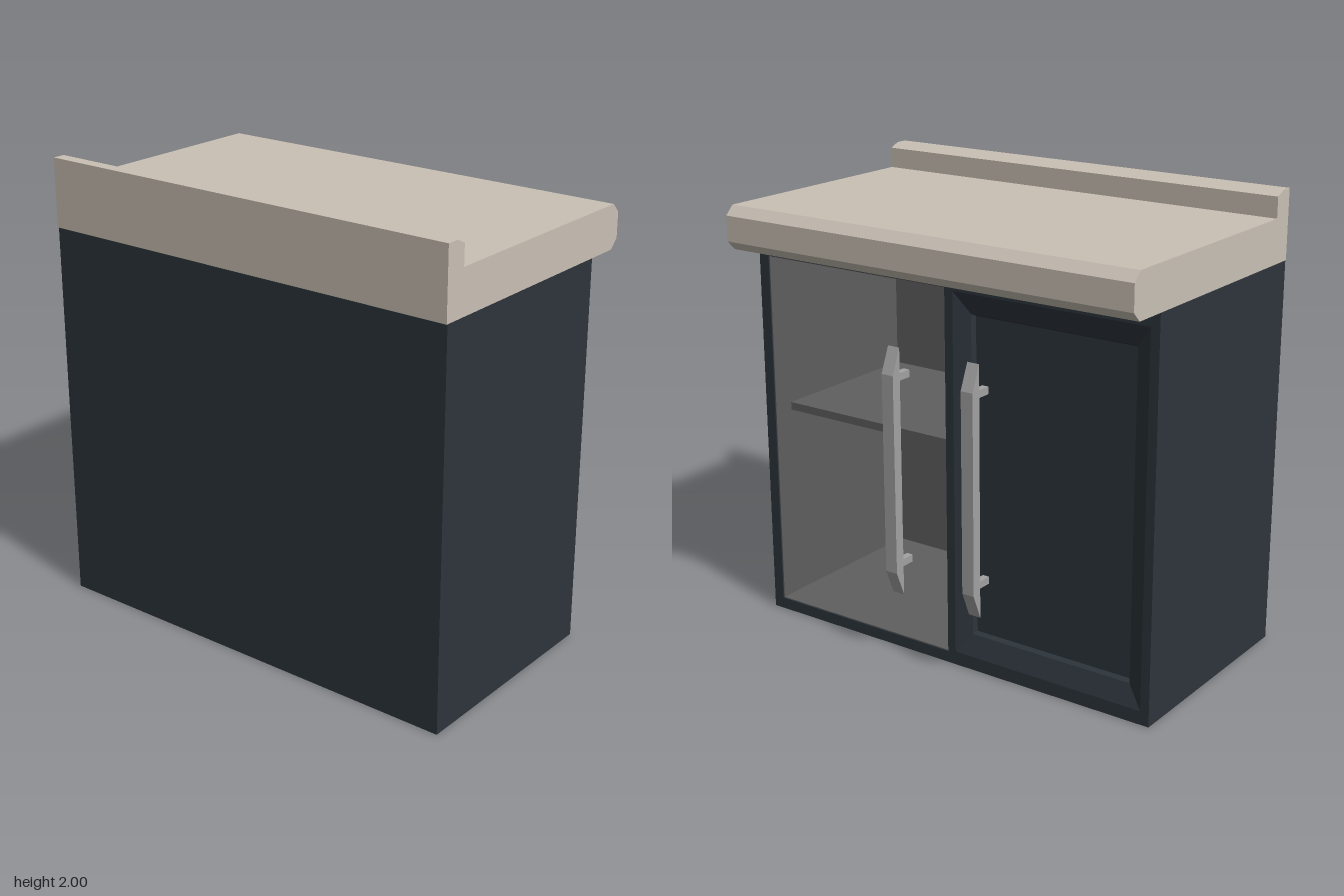
import * as THREE from 'three';

const mat = (name, color) => {
  const m = new THREE.MeshStandardMaterial({ color });
  m.name = name;
  return m;
};

// Overall sizes: half width, carcass height, back, door plane, door back
const W = 0.993, H = 1.7, BACK = 0.595, FRONT = -0.41, INNER = -0.31, T = 0.05;

export function createModel() {
  const navy = mat('darkBluePaint', 0x2d353c);
  const stone = mat('beigeStone', 0xcac1b5);
  const grey = mat('interiorGrey', 0x5f5f5f);
  const steel = mat('handleGrey', 0xa3a3a3);
  const root = new THREE.Group();
  root.name = 'baseCabinet';

  const add = (name, geometry, material, parent = root) => {
    const mesh = new THREE.Mesh(geometry, material);
    mesh.name = name;
    parent.add(mesh);
    return mesh;
  };
  // Box from its minimum and maximum corners
  const box = (name, [x0, y0, z0], [x1, y1, z1], material, parent) =>
    add(name, new THREE.BoxGeometry(x1 - x0, y1 - y0, z1 - z0)
      .translate((x0 + x1) / 2, (y0 + y1) / 2, (z0 + z1) / 2), material, parent);
  // Outline of (z, y) points extruded along x, centred on x
  const extrudeX = (points, width) => {
    const shape = new THREE.Shape(points.map(([z, y]) => new THREE.Vector2(-z, y)));
    return new THREE.ExtrudeGeometry(shape, { depth: width, bevelEnabled: false })
      .translate(0, 0, -width / 2).rotateY(Math.PI / 2);
  };

  // Carcass
  const carcass = new THREE.Group();
  carcass.name = 'carcass';
  root.add(carcass);
  box('rightPanel', [-W, 0, INNER], [-W + T, H, BACK], navy, carcass);
  box('leftPanel', [W - T, 0, FRONT], [W, H, BACK], navy, carcass);
  box('backPanel', [-W + T, 0, 0.45], [W - T, H, BACK], navy, carcass);
  for (const [name, y] of [['bottom', 0], ['top', H - T]]) {
    box(name + 'Panel', [-W + T, y, INNER], [W - T, y + T, 0.45], navy, carcass);
    box(name + 'Rail', [0, y, FRONT], [W - T, y + T, INNER], navy, carcass);
  }

  // Grey lining and shelf
  const e = 0.004, X = W - T;
  box('liningBack', [-X, T, 0.45 - e], [X, H - T, 0.45], grey);
  box('liningRight', [-X, T, INNER], [-X + e, H - T, 0.45], grey);
  box('liningLeft', [X - e, T, FRONT + e], [X, H - T, 0.45], grey);
  for (const [name, y] of [['liningFloor', T], ['liningCeiling', H - T - e]]) {
    box(name, [-X, y, INNER], [X, y + e, 0.45], grey);
    box(name + 'Front', [0.001, y, FRONT + e], [X, y + e, INNER], grey);
  }
  box('shelf', [-X, 0.93, INNER], [X, 0.965, 0.45], grey);

  // Panelled door: nested rectangles (inset x, inset y, z) joined by quads
  const rings = [[0, 0, INNER], [0, 0, FRONT], [0.04, 0.06, FRONT],
    [0.11, 0.15, FRONT + 0.03], [0.12, 0.16, FRONT + 0.05]].map(([ix, iy, z]) => {
    const x0 = -W + ix, x1 = -ix, y0 = iy, y1 = H - iy;
    return [[x0, y0, z], [x1, y0, z], [x1, y1, z], [x0, y1, z]];
  });
  const pos = [];
  const quad = (a, b, c, d) => pos.push(...a, ...b, ...c, ...a, ...c, ...d);
  for (let r = 0; r < rings.length - 1; r++) {
    const a = rings[r], b = rings[r + 1];
    for (let i = 0; i < 4; i++) {
      const j = (i + 1) % 4;
      quad(a[i], b[i], b[j], a[j]);
    }
  }
  const [p, q] = [rings[rings.length - 1], rings[0]];
  quad(p[0], p[3], p[2], p[1]);
  quad(q[0], q[1], q[2], q[3]);
  const doorGeometry = new THREE.BufferGeometry();
  doorGeometry.setAttribute('position', new THREE.Float32BufferAttribute(pos, 3));
  doorGeometry.computeVertexNormals();
  add('rightDoor', doorGeometry, navy);

  // Worktop with upstand and chamfered nose
  add('worktop', extrudeX([[0.6, 1.7], [0.6, 2], [0.545, 2], [0.5, 1.98], [0.5, 1.89],
    [-0.56, 1.89], [-0.6, 1.85], [-0.6, 1.74], [-0.56, 1.7]], 2 * W), stone);

  // Pair of bar handles with two posts each
  for (const s of [-1, 1]) {
    const handle = new THREE.Group();
    handle.name = s > 0 ? 'leftHandle' : 'rightHandle';
    handle.position.x = s * 0.2;
    root.add(handle);
    add('bar', extrudeX([[-0.49, 0.3], [-0.49, 1.39], [-0.535, 1.28], [-0.535, 0.41]], 0.058),
      steel, handle);
    for (const y of [0.42, 1.243])
      box('post', [-0.015, y, -0.49], [0.015, y + 0.032, FRONT], steel, handle);
  }
  return root;
}
